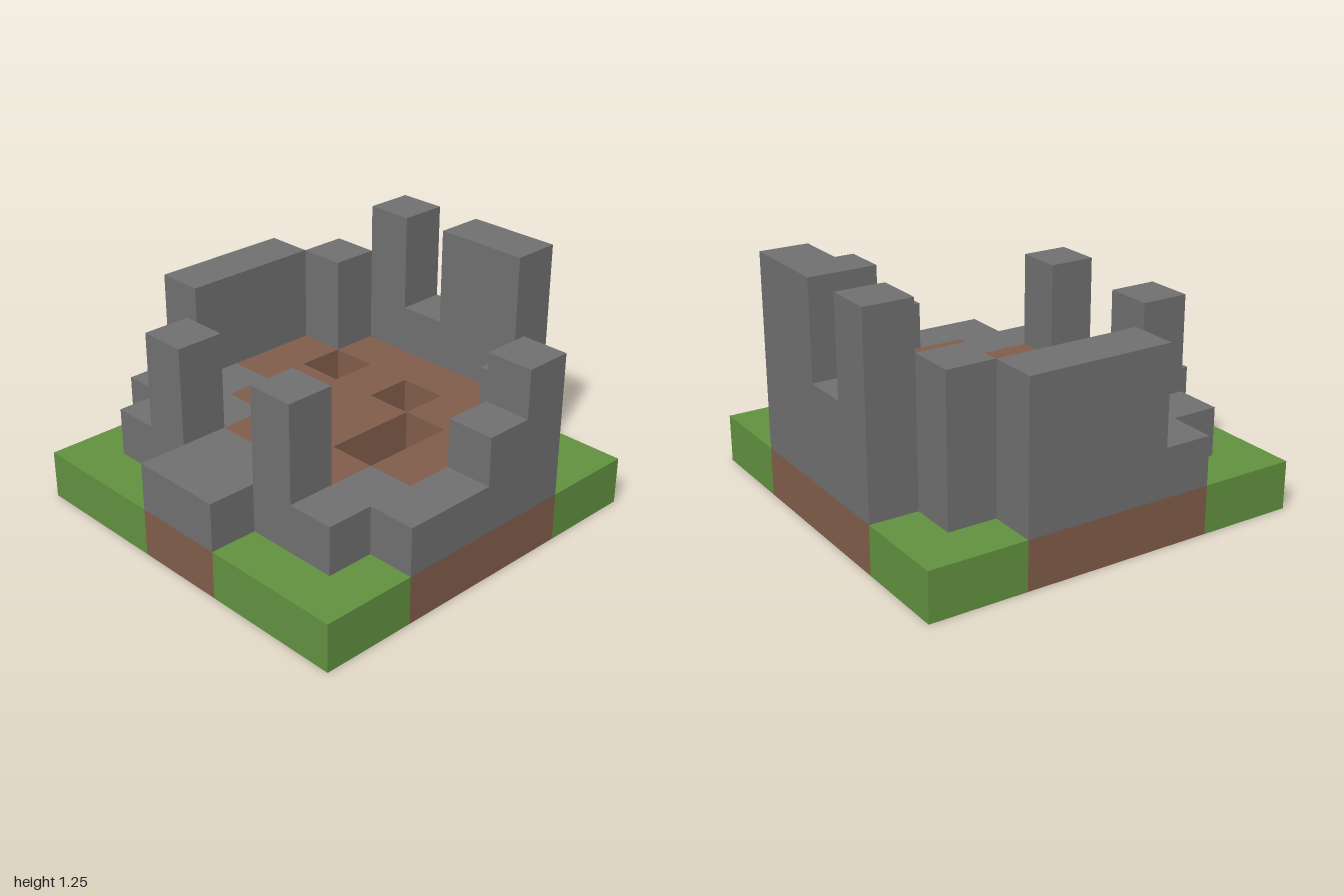
import * as THREE from 'three';
import { mergeGeometries } from 'three/addons/utils/BufferGeometryUtils.js';

const CELL = 0.25;

// Ground plan, back row first, left to right along +x.
// g: grass, p: pit in the earth floor, e: earth floor, 2-5: stone height in cells
const PLAN = [
  'gg2444gg',
  'g222ee4g',
  'g42eepe5',
  '22eeeee3',
  '22eeepe5',
  'g4epgee5',
  'g22eee3g',
  'gg2234gg',
];

export function createModel() {
  const group = new THREE.Group();
  const grass = new THREE.MeshStandardMaterial({ name: 'grass green', color: 0x629140 });
  const earth = new THREE.MeshStandardMaterial({ name: 'earth brown', color: 0x815d4a });
  const stone = new THREE.MeshStandardMaterial({ name: 'stone grey', color: 0x707070 });

  // Builds one mesh from the plan: heightOf gives the top level of a cell, or 0
  // for none; neighbouring cells of equal height in a row share one block.
  function addLayer(name, material, bottom, heightOf) {
    const blocks = [];
    PLAN.forEach((line, row) => {
      const tops = [...line].map(heightOf);
      for (let start = 0, end; start < tops.length; start = end) {
        end = start + 1;
        while (end < tops.length && tops[end] === tops[start]) end++;
        const rise = tops[start] - bottom;
        if (rise <= 0) continue;
        const block = new THREE.BoxGeometry((end - start) * CELL, rise * CELL, CELL);
        block.translate(
          ((start + end) / 2 - 4) * CELL,
          (bottom + rise / 2) * CELL,
          (row + 0.5 - 4) * CELL
        );
        blocks.push(block);
      }
    });
    const mesh = new THREE.Mesh(mergeGeometries(blocks), material);
    mesh.name = name;
    group.add(mesh);
  }

  // Ground slab: grass at the corners, earth below the ruin
  addLayer('grassGround', grass, 0, (c) => (c === 'g' ? 1 : 0));
  addLayer('earthGround', earth, 0, (c) => (c === 'g' ? 0 : 1));
  // Raised floor inside the walls, with pits left open
  addLayer('earthFloor', earth, 1, (c) => (c === 'e' ? 2 : 0));
  // Broken walls and pillars
  addLayer('ruinedWalls', stone, 1, (c) => Number(c) || 0);

  return group;
}
